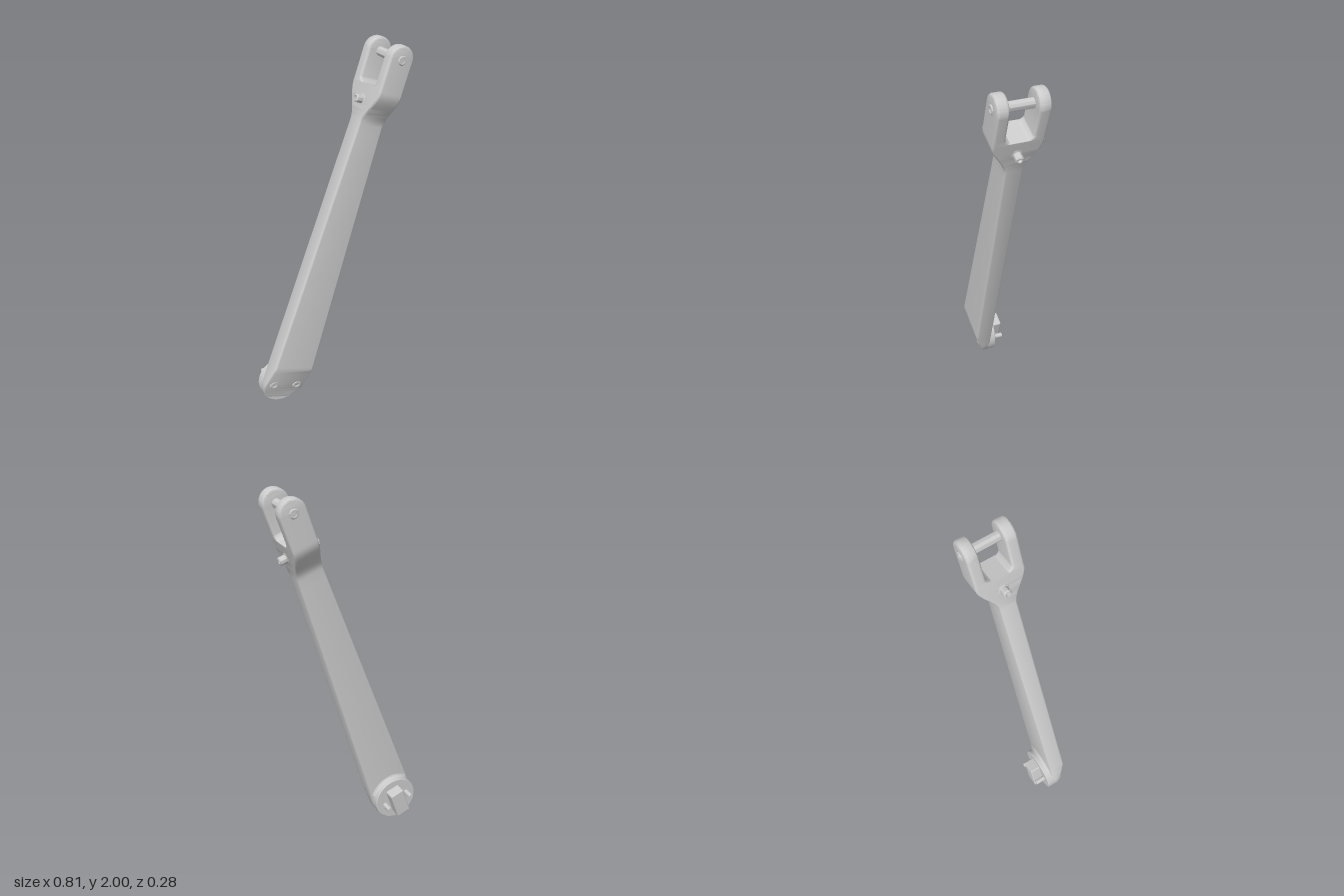
import * as THREE from 'three';
import { toCreasedNormals } from 'three/addons/utils/BufferGeometryUtils.js';
import { RoundedBoxGeometry } from 'three/addons/geometries/RoundedBoxGeometry.js';

const material = new THREE.MeshStandardMaterial({ color: 0xcccccc });
const LENGTH = 1.904;   // lower boss centre to fork pin centre
const R_LOW = 0.128, R_TOP = 0.07, SLOT = 1.74;

const smooth = THREE.MathUtils.smoothstep;

function add(group, name, geometry, x = 0, y = 0, z = 0) {
  const mesh = new THREE.Mesh(geometry, material);
  mesh.name = name;
  mesh.position.set(x, y, z);
  group.add(mesh);
  return mesh;
}

// Rounded-edge loft along y. Each station is an outline point {w, y} with its normal {nx, ny}.
function loft(stations, front, back, radius) {
  const pos = [], index = [], STEPS = 5, N = 4 * (STEPS + 1);
  for (const s of stations) {
    const zf = front(s.y), zb = back(s.y);
    const r = Math.min(radius, (zf - zb) * 0.49);
    for (let k = 0; k < 4; k++) {
      const sx = k === 0 || k === 3 ? 1 : -1, sz = k < 2 ? 1 : -1;
      for (let i = 0; i <= STEPS; i++) {
        const a = (k + i / STEPS) * Math.PI / 2;
        const inset = r * (1 - Math.abs(Math.cos(a)));
        const drop = r * (1 - Math.abs(Math.sin(a)));
        pos.push(sx * (s.w - inset * s.nx), s.y - inset * s.ny, sz > 0 ? zf - drop : zb + drop);
      }
    }
  }
  const last = stations.length - 1;
  for (let i = 0; i < last; i++) {
    for (let j = 0; j < N; j++) {
      const a = i * N + j, b = i * N + (j + 1) % N;
      index.push(a, a + N, b, b, a + N, b + N);
    }
  }
  // End caps
  for (let j = 1; j < N - 1; j++) {
    index.push(0, j, j + 1);
    index.push(last * N, last * N + j + 1, last * N + j);
  }
  const g = new THREE.BufferGeometry();
  g.setAttribute('position', new THREE.Float32BufferAttribute(pos, 3));
  g.setIndex(index);
  return toCreasedNormals(g, 0.6);
}

// Quarter-circle outline stations from angle a0 to a1
function arc(centre, r, a0, a1, steps) {
  return Array.from({ length: steps + 1 }, (_, i) => {
    const a = a0 + (a1 - a0) * i / steps;
    return { w: Math.max(0, r * Math.cos(a)), y: centre + r * Math.sin(a), nx: Math.cos(a), ny: Math.sin(a) };
  });
}

function lathe(points, segments = 32, start = 0, sweep = Math.PI * 2) {
  const profile = points.map(([x, y]) => new THREE.Vector2(x, y));
  return toCreasedNormals(new THREE.LatheGeometry(profile, segments, start, sweep), 0.6);
}

// Socket screw head rising along +y, with a flange at its base
function socketHead(r, h, flange = r) {
  return lathe([[0, 0], [flange, 0], [flange, 0.008], [r, 0.01], [r, h - 0.005], [r - 0.005, h],
    [r * 0.55, h], [r * 0.55, h - 0.014], [0, h - 0.014]], 24);
}

// Outer front and back surfaces of the arm
const flare = (y) => 0.08 * smooth(y, 1.55, 1.73);
const outerBack = (y) => -0.044 - flare(y);
function outerFront(y) {
  const slope = -0.03 + 0.075 * (y + 0.125) / 0.225;
  return Math.min(slope, 0.05) + flare(y);
}

export function createModel() {
  const model = new THREE.Group();
  model.name = 'linkArm';
  const arm = new THREE.Group();
  arm.name = 'arm';
  arm.position.set(-0.28, 0.13, 0);
  arm.rotation.z = -0.328;
  model.add(arm);

  // Tapered bar, flaring at the top into the base of the fork
  const bar = arc(0, R_LOW, -Math.PI / 2, 0, 20);
  const heights = [0.04, 0.08, 0.1, 0.115, 0.13, 0.3, 0.6, 0.9, 1.2, 1.5];
  for (let i = 0; i <= 16; i++) heights.push(1.55 + (SLOT - 1.55) * i / 16);
  for (const y of heights) {
    const w = R_LOW + (R_TOP - R_LOW) * Math.min(1, y / 1.7);
    bar.push({ w, y, nx: 1, ny: 0 });
  }
  add(arm, 'bar', loft(bar, outerFront, outerBack, 0.012));

  // Fork prongs with a filleted slot root
  const prong = [];
  for (let i = 0; i < 7; i++) prong.push({ w: R_TOP, y: SLOT + 0.03 * i / 6, nx: 1, ny: 0 });
  prong.push(...arc(LENGTH, R_TOP, 0, Math.PI / 2, 20));
  const fillet = (y) => 0.025 * Math.pow(Math.max(0, 1 - (y - SLOT) / 0.03), 2);
  add(arm, 'frontProng', loft(prong, () => 0.13, (y) => 0.07 - fillet(y), 0.013));
  add(arm, 'backProng', loft(prong, (y) => -0.065 + fillet(y), () => -0.124, 0.013));

  // Fork pin with a shallow dimple in each end
  const pin = lathe([[0, -0.128], [0.014, -0.128], [0.014, -0.133], [0.02, -0.133], [0.024, -0.129],
    [0.024, 0.129], [0.02, 0.133], [0.014, 0.133], [0.014, 0.128], [0, 0.128]]);
  pin.rotateX(Math.PI / 2);
  add(arm, 'forkPin', pin, 0, LENGTH, 0.003);

  // Clamp screw heads on both edges of the fork base
  for (const side of [-1, 1]) {
    const head = add(arm, side < 0 ? 'rightClampScrew' : 'leftClampScrew',
      socketHead(0.021, 0.047, 0.028), side * 0.064, 1.665, 0.003);
    head.rotation.z = -side * Math.PI / 2;
  }

  // Round boss on the back of the lower end
  const boss = lathe([[0, 0], [R_LOW, 0], [R_LOW, 0.05], [R_LOW - 0.004, 0.054], [0, 0.054]], 48);
  boss.rotateX(-Math.PI / 2);
  add(arm, 'boss', boss, 0, 0, -0.027);

  // Fillet blending the upper side of the boss into the bar
  const curve = [];
  for (let i = 0; i <= 6; i++) {
    const a = i / 6 * Math.PI / 2;
    curve.push([0.148 - 0.022 * Math.sin(a), 0.022 * (1 - Math.cos(a))]);
  }
  const blend = lathe(curve, 24, Math.PI - 0.95, 1.9);
  blend.rotateX(-Math.PI / 2);
  // Lathe angle PI points along -z, which the turn above sends to +y or -y
  blend.computeBoundingBox();
  if (blend.boundingBox.max.y < 0.1) blend.rotateZ(Math.PI);
  add(arm, 'bossFillet', blend, 0, 0, -0.0435);

  // Key block and the two through screws
  add(arm, 'keyBlock', new RoundedBoxGeometry(0.084, 0.164, 0.07, 3, 0.008), 0, 0, -0.105);
  for (const side of [-1, 1]) {
    const x = side * 0.074;
    const stud = new THREE.CylinderGeometry(0.014, 0.014, 0.12, 20);
    stud.rotateX(Math.PI / 2);
    add(arm, 'stud', stud, x, 0, -0.08);
    const head = socketHead(0.027, 0.022);
    head.rotateX(Math.PI / 2 + 0.2);
    add(arm, 'studHead', head, x, 0, -0.006);
  }
  return model;
}
